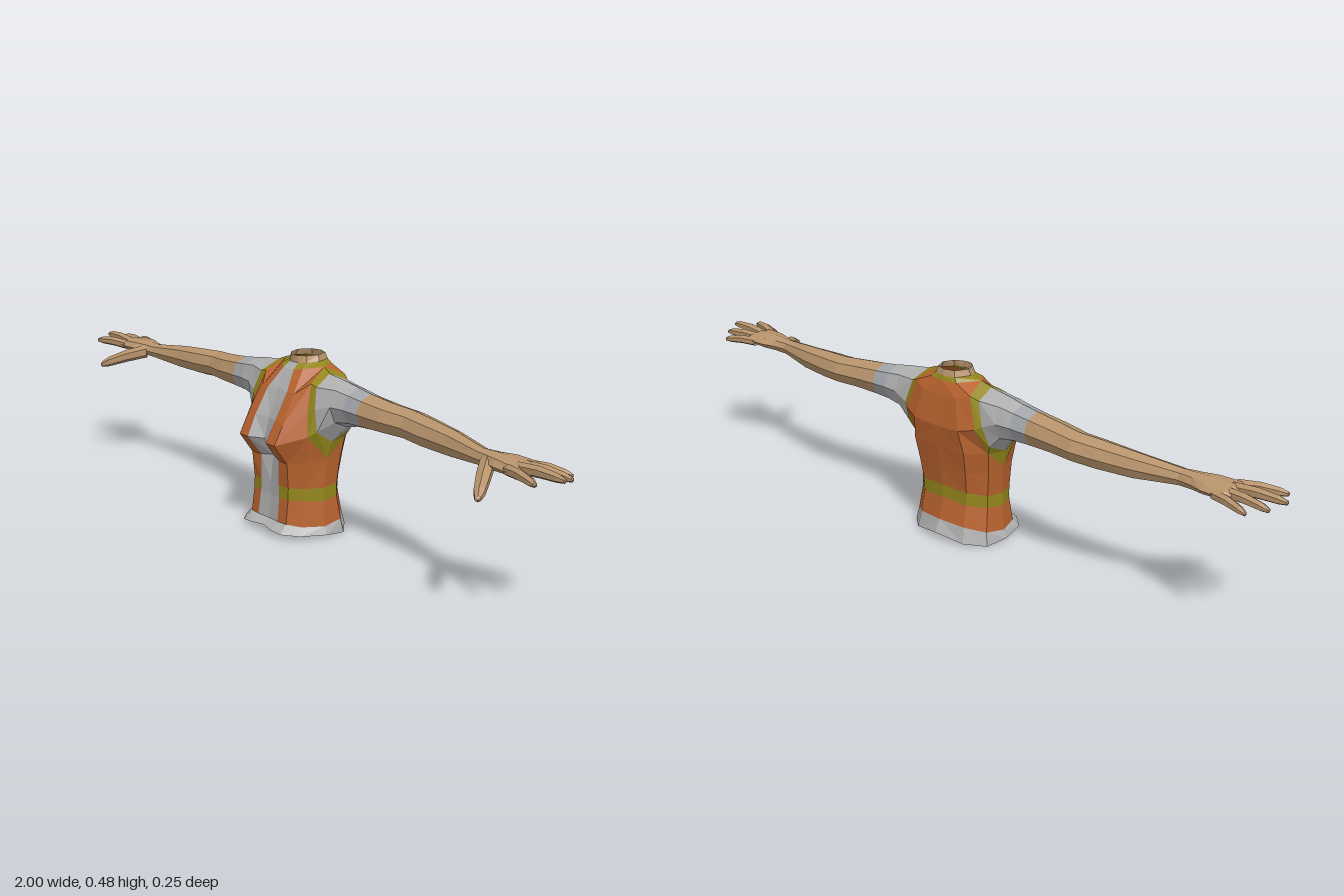
import * as THREE from 'three';

const mat = (name, color) => new THREE.MeshStandardMaterial({ name, color, flatShading: true, side: THREE.DoubleSide });

// Armhole loops, from the armpit round the front, over the shoulder and down the back
const armOuter = [[.137, .22, -.005], [.132, .285, .055], [.12, .35, .047], [.102, .42, .022],
  [.085, .455, -.035], [.098, .43, -.095], [.125, .345, -.105], [.137, .27, -.065]];
const armInner = [[.15, .268, -.01], [.148, .30, .037], [.14, .36, .038], [.125, .415, .022],
  [.115, .443, -.03], [.122, .42, -.085], [.142, .355, -.095], [.15, .295, -.074]];
const A = armOuter;

// Front half rows, hem to neck: centre, stripe edge, bust, front side, side seam
const frontRows = [
  [[0, .02, .107], [.045, .018, .116], [.085, .014, .112], [.125, .012, .075], [.147, .008, 0]],
  [[0, .035, .086], [.045, .037, .091], [.08, .037, .088], [.115, .033, .06], [.137, .03, 0]],
  [[0, .103, .08], [.042, .103, .083], [.078, .103, .08], [.11, .102, .05], [.13, .1, 0]],
  [[0, .137, .08], [.04, .137, .083], [.078, .137, .079], [.11, .137, .05], [.13, .137, 0]],
  [[0, .212, .072], [.04, .207, .083], [.08, .205, .085], [.118, .212, .05], A[0]],
  [[0, .262, .1], [.042, .262, .126], [.08, .262, .126], A[1], A[1]],
  [[0, .32, .085], [.045, .32, .098], [.08, .315, .098], A[2], A[2]],
  [[0, .395, .052], [.043, .39, .058], [.07, .39, .056], A[3], A[3]],
  [[0, .442, .022], [.022, .444, .02], [.048, .449, .008], A[4], A[4]],
  [[0, .459, .004], [.018, .459, .002], [.038, .461, -.01], [.053, .463, -.042], [.053, .463, -.042]],
  [[0, .478, .003], [.017, .478, 0], [.035, .479, -.015], [.046, .48, -.045], [.046, .48, -.045]],
];
// Back half rows: side seam, back side, shoulder blade, spine
const backRows = [
  [[.147, .008, 0], [.135, 0, -.065], [.085, .006, -.108], [0, .02, -.126]],
  [[.137, .03, 0], [.128, .038, -.06], [.08, .05, -.098], [0, .055, -.11]],
  [[.13, .1, 0], [.122, .105, -.05], [.078, .11, -.087], [0, .117, -.097]],
  [[.13, .137, 0], [.122, .14, -.05], [.08, .148, -.088], [0, .153, -.097]],
  [A[0], [.13, .21, -.055], [.085, .21, -.098], [0, .21, -.104]],
  [A[7], A[7], [.09, .27, -.11], [0, .27, -.113]],
  [A[6], A[6], [.08, .335, -.122], [0, .33, -.121]],
  [A[5], A[5], [.06, .415, -.108], [0, .41, -.108]],
  [A[4], A[4], [.045, .452, -.09], [0, .45, -.097]],
  [[.053, .463, -.042], [.053, .463, -.042], [.035, .463, -.085], [0, .463, -.092]],
  [[.046, .48, -.045], [.046, .48, -.045], [.03, .48, -.08], [0, .48, -.088]],
];

const same = (a, b) => a.every((v, i) => Math.abs(v - b[i]) < 1e-6);

// Adds a four-cornered face, dropping collapsed triangles; side -1 mirrors it
function addQuad(out, a, b, c, d, side) {
  for (const tri of [[a, b, c], [a, c, d]]) {
    if (same(tri[0], tri[1]) || same(tri[1], tri[2]) || same(tri[0], tri[2])) continue;
    if (side < 0) tri.reverse();
    for (const p of tri) out.push(p[0] * side, p[1], p[2]);
  }
}

function makeMesh(name, points, material) {
  const g = new THREE.BufferGeometry();
  g.setAttribute('position', new THREE.Float32BufferAttribute(points, 3));
  g.computeVertexNormals();
  const m = new THREE.Mesh(g, material);
  m.name = name;
  return m;
}

// Skin stretched over rings that run outward along the arm
function loft(name, rings, material, side) {
  const pts = [];
  for (let r = 0; r + 1 < rings.length; r++) {
    const lo = rings[r], hi = rings[r + 1], n = lo.length;
    for (let c = 0; c < n; c++) {
      const e = (c + 1) % n;
      addQuad(pts, lo[c], hi[c], hi[e], lo[e], side);
    }
  }
  return makeMesh(name, pts, material);
}

// Oval ring facing (dx, dz), starting at its lowest point
function ring([x, y, z], h, w, n = 8, dx = 1, dz = 0) {
  return Array.from({ length: n }, (_, i) => {
    const a = i / n * Math.PI * 2, s = w * Math.sin(a);
    return [x - dz * s, y - h * Math.cos(a), z + dx * s];
  });
}

// Arm section from its bottom, top, back and front limits
const section = (x, y0, y1, z0, z1) => ring([x, (y0 + y1) / 2, (z0 + z1) / 2], (y1 - y0) / 2, (z1 - z0) / 2);

// Tapered digit from root to tip
function digit(name, a, b, r, material, side) {
  const len = Math.hypot(b[0] - a[0], b[2] - a[2]);
  const dx = (b[0] - a[0]) / len, dz = (b[2] - a[2]) / len;
  const rings = [[0, 1, 0], [.45, .95, .004], [.82, .75, .002], [.97, .42, 0], [1, .02, 0]].map(([t, k, lift]) =>
    ring(a.map((v, i) => v + (b[i] - v) * t + (i === 1 ? lift : 0)), r * k, r * k, 6, dx, dz));
  return loft(name, rings, material, side);
}

export function createModel() {
  const model = new THREE.Group();
  model.name = 'vestedTorso';
  const orange = mat('vestOrange', 0xb9632f), yellow = mat('trimYellow', 0x94871c);
  const grey = mat('shirtGrey', 0xb0b0b0), cuffGrey = mat('cuffGrey', 0xa3a6ab), skin = mat('skin', 0xb8946c);

  // Torso faces sorted into hem, vest, reflective band, collar and neck
  const parts = {
    shirtHem: [grey, []], centreStripe: [grey, []], vestPanels: [orange, []],
    waistBand: [yellow, []], collar: [yellow, []], neck: [skin, []],
  };
  const partAt = (row, isStripe) => {
    if (row === 0) return 'shirtHem';
    if (row === 9) return 'neck';
    if (isStripe) return 'centreStripe';
    if (row === 2) return 'waistBand';
    return row === 8 ? 'collar' : 'vestPanels';
  };
  for (const side of [1, -1]) {
    for (const rows of [frontRows, backRows]) {
      for (let r = 0; r + 1 < rows.length; r++) {
        for (let c = 0; c + 1 < rows[r].length; c++) {
          const part = partAt(r, rows === frontRows && c === 0);
          addQuad(parts[part][1], rows[r][c], rows[r][c + 1], rows[r + 1][c + 1], rows[r + 1][c], side);
        }
      }
    }
  }
  for (const [name, [material, pts]] of Object.entries(parts)) model.add(makeMesh(name, pts, material));

  // Arms
  const sleeveEnd = section(.23, .322, .426, -.09, .018);
  const cuffEnd = section(.28, .325, .419, -.088, .014);
  const wrist = section(.72, .338, .382, -.038, .013);
  for (const side of [1, -1]) {
    const arm = new THREE.Group();
    arm.name = side > 0 ? 'leftArm' : 'rightArm';
    arm.add(
      loft('armholeTrim', [armOuter, armInner], yellow, side),
      loft('sleeve', [armInner, section(.185, .312, .434, -.092, .024), sleeveEnd], grey, side),
      loft('sleeveCuff', [sleeveEnd, cuffEnd], cuffGrey, side),
      loft('bareArm', [cuffEnd, section(.36, .328, .411, -.09, .009), section(.43, .328, .406, -.095, -.003),
        section(.5, .325, .402, -.085, .001), section(.6, .326, .395, -.067, .002), wrist], skin, side),
      loft('palm', [wrist, section(.76, .341, .383, -.045, .022), section(.8, .344, .384, -.06, .036),
        section(.86, .349, .381, -.065, .045), section(.875, .36, .372, -.05, .03),
        section(.876, .3655, .3665, -.045, .025)], skin, side),
      digit('littleFinger', [.835, .361, -.05], [.942, .354, -.082], .0135, skin, side),
      digit('ringFinger', [.845, .365, -.026], [.98, .361, -.042], .0145, skin, side),
      digit('middleFinger', [.85, .367, .002], [1, .372, .003], .015, skin, side),
      digit('indexFinger', [.845, .365, .028], [.966, .365, .063], .0145, skin, side),
      digit('thumb', [.758, .357, .008], [.848, .313, .122], .02, skin, side),
    );
    model.add(arm);
  }
  return model;
}
